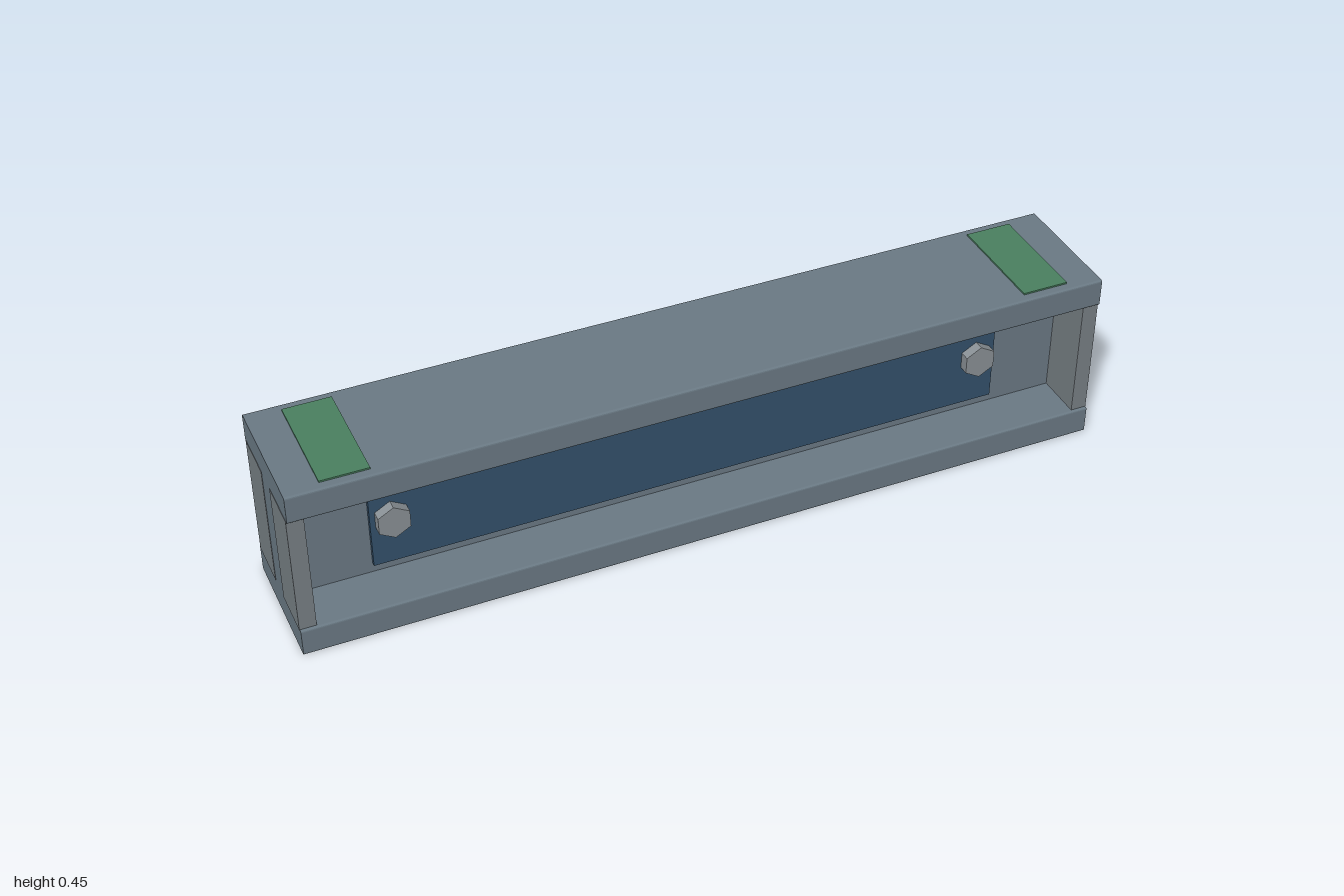
import * as THREE from 'three';

const H = 0.448, FLANGE = 0.07, HALF_Z = 0.16, WEB = 0.032, MID = H / 2;
const mat = (color) => new THREE.MeshStandardMaterial({ color });

export function createModel() {
  const model = new THREE.Group();
  const steel = mat(0x6b7a85), stiffenerGrey = mat(0x788085);
  const blue = mat(0x34516b), green = mat(0x4a8060), boltGrey = mat(0x8a9196);

  const add = (name, geometry, material, x, y, z) => {
    const mesh = new THREE.Mesh(geometry, material);
    mesh.name = name;
    mesh.position.set(x, y, z);
    model.add(mesh);
    return mesh;
  };

  // I-beam: cross-section with softened flange tips, extruded along x
  const r = 0.005, half = H / 2, inner = half - FLANGE;
  const s = new THREE.Shape();
  s.moveTo(-HALF_Z + r, -half);
  s.lineTo(HALF_Z - r, -half);
  s.quadraticCurveTo(HALF_Z, -half, HALF_Z, -half + r);
  s.lineTo(HALF_Z, -inner - r);
  s.quadraticCurveTo(HALF_Z, -inner, HALF_Z - r, -inner);
  s.lineTo(WEB, -inner);
  s.lineTo(WEB, inner);
  s.lineTo(HALF_Z - r, inner);
  s.quadraticCurveTo(HALF_Z, inner, HALF_Z, inner + r);
  s.lineTo(HALF_Z, half - r);
  s.quadraticCurveTo(HALF_Z, half, HALF_Z - r, half);
  s.lineTo(-HALF_Z + r, half);
  s.quadraticCurveTo(-HALF_Z, half, -HALF_Z, half - r);
  s.lineTo(-HALF_Z, inner + r);
  s.quadraticCurveTo(-HALF_Z, inner, -HALF_Z + r, inner);
  s.lineTo(-WEB, inner);
  s.lineTo(-WEB, -inner);
  s.lineTo(-HALF_Z + r, -inner);
  s.quadraticCurveTo(-HALF_Z, -inner, -HALF_Z, -inner - r);
  s.lineTo(-HALF_Z, -half + r);
  s.quadraticCurveTo(-HALF_Z, -half, -HALF_Z + r, -half);
  const length = 1.998;
  const beam = new THREE.ExtrudeGeometry(s, { depth: length, bevelEnabled: false, curveSegments: 3 });
  beam.translate(0, 0, -length / 2).rotateY(Math.PI / 2);
  add('iBeam', beam, steel, 0, MID, 0);

  // Hexagonal bolt head with a point facing up, axis along z
  const boltHead = new THREE.CylinderGeometry(0.043, 0.043, 0.036, 6).toNonIndexed();
  boltHead.rotateX(Math.PI / 2);
  boltHead.computeVertexNormals();

  const stiffener = new THREE.BoxGeometry(0.04, 0.313, 0.121);
  const sidePlate = new THREE.BoxGeometry(1.58, 0.26, 0.014);
  const pad = new THREE.BoxGeometry(0.115, 0.008, 0.274);

  for (const side of [1, -1]) {
    const face = side > 0 ? 'front' : 'back';
    add(face + 'WebPlate', sidePlate, blue, 0, 0.225, side * 0.036);
    for (const end of [1, -1]) {
      const hand = end > 0 ? 'Left' : 'Right';
      add(face + hand + 'EndStiffener', stiffener, stiffenerGrey, end * 0.98, MID, side * 0.092);
      add(face + hand + 'Bolt', boltHead, boltGrey, end * 0.74, 0.224, side * 0.05);
    }
  }

  // Bearing pads on the top flange
  for (const end of [1, -1]) {
    add(end > 0 ? 'leftTopPad' : 'rightTopPad', pad, green, end * 0.858, 0.448, 0);
  }
  return model;
}
